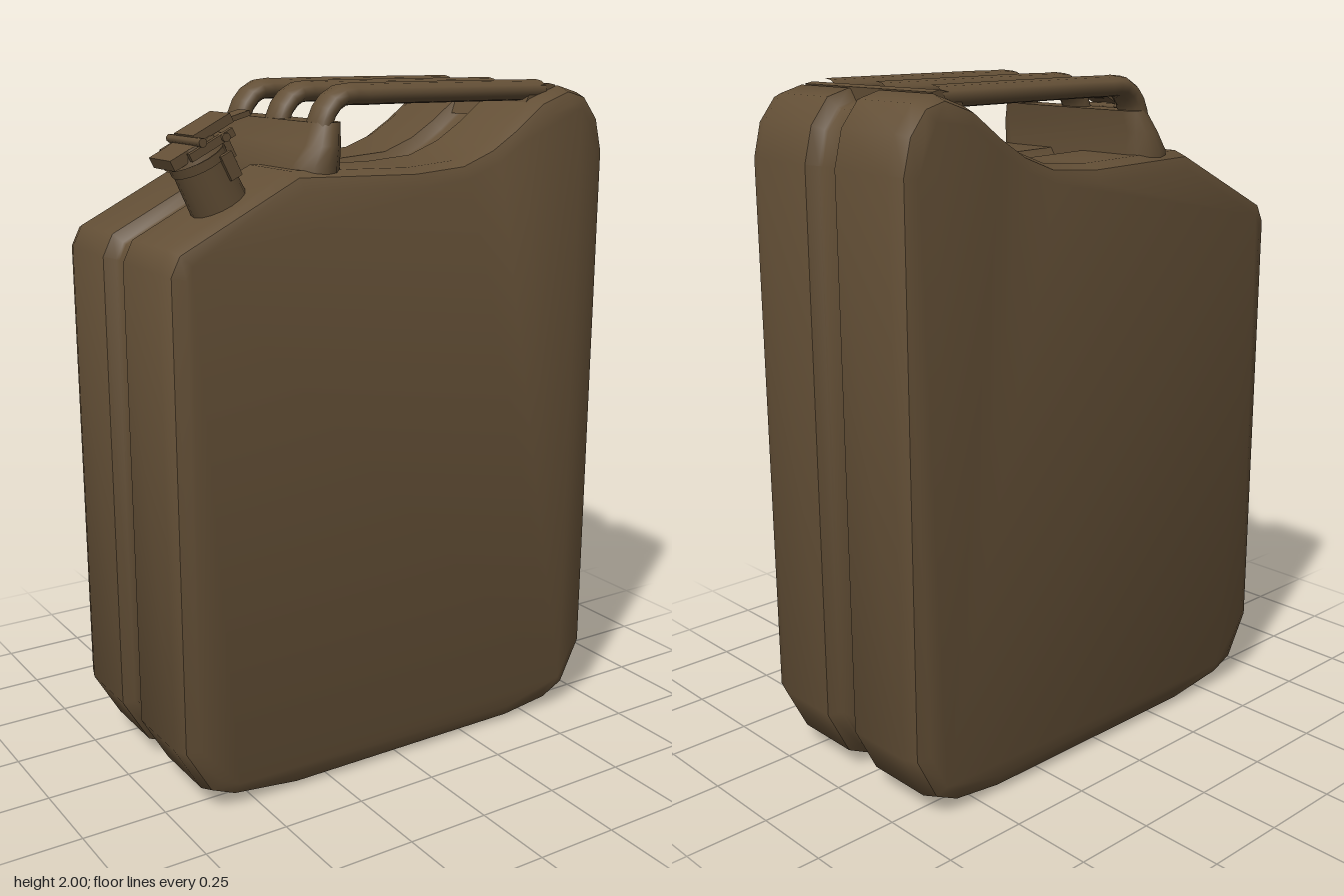
import * as THREE from 'three';
import { toCreasedNormals } from 'three/addons/utils/BufferGeometryUtils.js';

const paint = new THREE.MeshStandardMaterial({ color: 0x634f36 });
paint.name = 'olive brown paint';

const v2 = (x, y) => new THREE.Vector2(x, y);

function part(name, geometry, parent, x = 0, y = 0, z = 0) {
  const mesh = new THREE.Mesh(geometry, paint);
  mesh.name = name;
  mesh.position.set(x, y, z);
  parent.add(mesh);
  return mesh;
}

// Move a counter-clockwise outline inwards with mitred corners
function inset(points, d) {
  const n = points.length;
  return points.map((p, i) => {
    const a = p.clone().sub(points[(i + n - 1) % n]).normalize();
    const b = points[(i + 1) % n].clone().sub(p).normalize();
    const na = v2(-a.y, a.x), nb = v2(-b.y, b.x);
    const m = na.clone().add(nb).normalize();
    return p.clone().addScaledVector(m, d / m.dot(nb));
  });
}

// Join counter-clockwise outlines stacked along z, with both ends closed
function loft(rings, crease) {
  const n = rings[0].points.length, last = (rings.length - 1) * n;
  const pos = [], index = [];
  rings.forEach(r => r.points.forEach(p => pos.push(p.x, p.y, r.z)));
  for (let k = 0; k < rings.length - 1; k++) {
    for (let i = 0; i < n; i++) {
      const j = (i + 1) % n, a = k * n + i, b = k * n + j;
      index.push(a, b, b + n, a, b + n, a + n);
    }
  }
  for (const [a, b, c] of THREE.ShapeUtils.triangulateShape(rings[0].points, [])) index.push(a, c, b);
  for (const [a, b, c] of THREE.ShapeUtils.triangulateShape(rings[rings.length - 1].points, [])) {
    index.push(last + a, last + b, last + c);
  }
  const g = new THREE.BufferGeometry();
  g.setAttribute('position', new THREE.Float32BufferAttribute(pos, 3));
  g.setIndex(index);
  return toCreasedNormals(g, crease);
}

// Can body: one outline, inset along z for the rounded rims and the centre groove
function addBody(model) {
  const outline = [
    [-0.73, 0.2], [-0.65, 0.06], [-0.57, 0.025], [-0.36, 0], [0.42, 0], [0.58, 0.02], [0.66, 0.06], [0.73, 0.2],
    [0.73, 1.79], [0.705, 1.89], [0.65, 1.96], [0.58, 1.98], [0.48, 1.945], [0.38, 1.87], [0.3, 1.82],
    [0.2, 1.782], [0.04, 1.77], [-0.34, 1.78], [-0.7, 1.6], [-0.73, 1.54],
  ].map(p => v2(...p));
  const half = [[0.035, 0.035], [0.045, 0.03], [0.065, 0], [0.28, 0], [0.325, 0.015], [0.341, 0.05]];
  const profile = [...half.map(([z, d]) => [-z, d]).reverse(), ...half];
  part('canBody', loft(profile.map(([z, d]) => ({ z, points: inset(outline, d) })), 0.75), model);
}

// Three carrying bars, their shared foot and the plate where they meet the shoulder
function addHandle(model) {
  const handle = new THREE.Group();
  handle.name = 'tripleHandle';
  model.add(handle);

  const path = new THREE.CatmullRomCurve3([
    [-0.245, 1.77], [-0.222, 1.86], [-0.2, 1.925], [-0.155, 1.966], [-0.07, 1.97], [0.2, 1.97], [0.54, 1.968],
  ].map(([x, y]) => new THREE.Vector3(x, y, 0)));
  for (const z of [-0.225, 0, 0.225]) {
    const bar = new THREE.TubeGeometry(path, 28, 0.03, 12);
    bar.scale(1, 1, 1.7);
    part('handleBar', bar, handle, 0, 0, z);
  }

  const footRing = (y, x0, x1, w) => {
    const c = (x0 + x1) / 2, r = (x1 - x0) / 2, points = [];
    for (let i = 0; i <= 6; i++) {
      const a = i * Math.PI / 6;
      points.push(v2(c + r * Math.cos(a), w - r + r * Math.sin(a)));
    }
    for (let i = 0; i <= 6; i++) {
      const a = Math.PI + i * Math.PI / 6;
      points.push(v2(c + r * Math.cos(a), -w + r + r * Math.sin(a)));
    }
    return { z: y, points };
  };
  const foot = loft([
    footRing(1.72, -0.31, -0.17, 0.31), footRing(1.785, -0.31, -0.17, 0.31),
    footRing(1.84, -0.272, -0.168, 0.3), footRing(1.9, -0.242, -0.158, 0.275),
  ], 0.8);
  foot.rotateX(-Math.PI / 2);
  part('handleFoot', foot, handle);

  const plate = new THREE.Shape([
    v2(0.44, 1.89), v2(0.57, 1.93), v2(0.575, 1.983), v2(0.55, 1.988), v2(0.49, 1.975),
  ]);
  part('handleEndPlate', new THREE.ExtrudeGeometry(plate, { depth: 0.54, bevelEnabled: false }), handle, 0, 0, -0.27);
}

// Pouring neck with hinged lid and locking lever, square to the sloping shoulder
function addSpout(model) {
  const spout = new THREE.Group();
  spout.name = 'spout';
  spout.position.set(-0.505, 1.7, 0.185);
  spout.rotation.z = Math.atan2(0.18, 0.36);
  model.add(spout);

  const box = (name, w, h, d, x, y, z = 0) => part(name, new THREE.BoxGeometry(w, h, d), spout, x, y, z);
  part('neck', new THREE.CylinderGeometry(0.075, 0.08, 0.15, 16), spout, 0, 0.065);
  part('neckRim', new THREE.CylinderGeometry(0.08, 0.08, 0.025, 16), spout, 0, 0.125);
  part('lid', new THREE.CylinderGeometry(0.07, 0.085, 0.04, 16), spout, -0.005, 0.16);
  box('lidTongue', 0.09, 0.03, 0.125, -0.05, 0.165);
  box('lockingLever', 0.12, 0.025, 0.11, 0.055, 0.19);
  box('leverTip', 0.08, 0.014, 0.06, 0.14, 0.175).rotation.z = -0.2;
  for (const side of [-1, 1]) {
    box('lidArm', 0.14, 0.022, 0.014, 0.02, 0.165, side * 0.08);
    box('neckLug', 0.035, 0.07, 0.014, 0.045, 0.09, side * 0.076);
  }
  for (const [x, y] of [[0.06, 0.165], [-0.005, 0.185]]) {
    const pin = new THREE.CylinderGeometry(0.012, 0.012, 0.19, 8);
    pin.rotateX(Math.PI / 2);
    part('hingePin', pin, spout, x, y);
  }
  box('latchCatch', 0.025, 0.05, 0.04, 0.085, 0.11);
}

export function createModel() {
  const model = new THREE.Group();
  model.name = 'fuelCan';
  addBody(model);
  addHandle(model);
  addSpout(model);
  return model;
}
